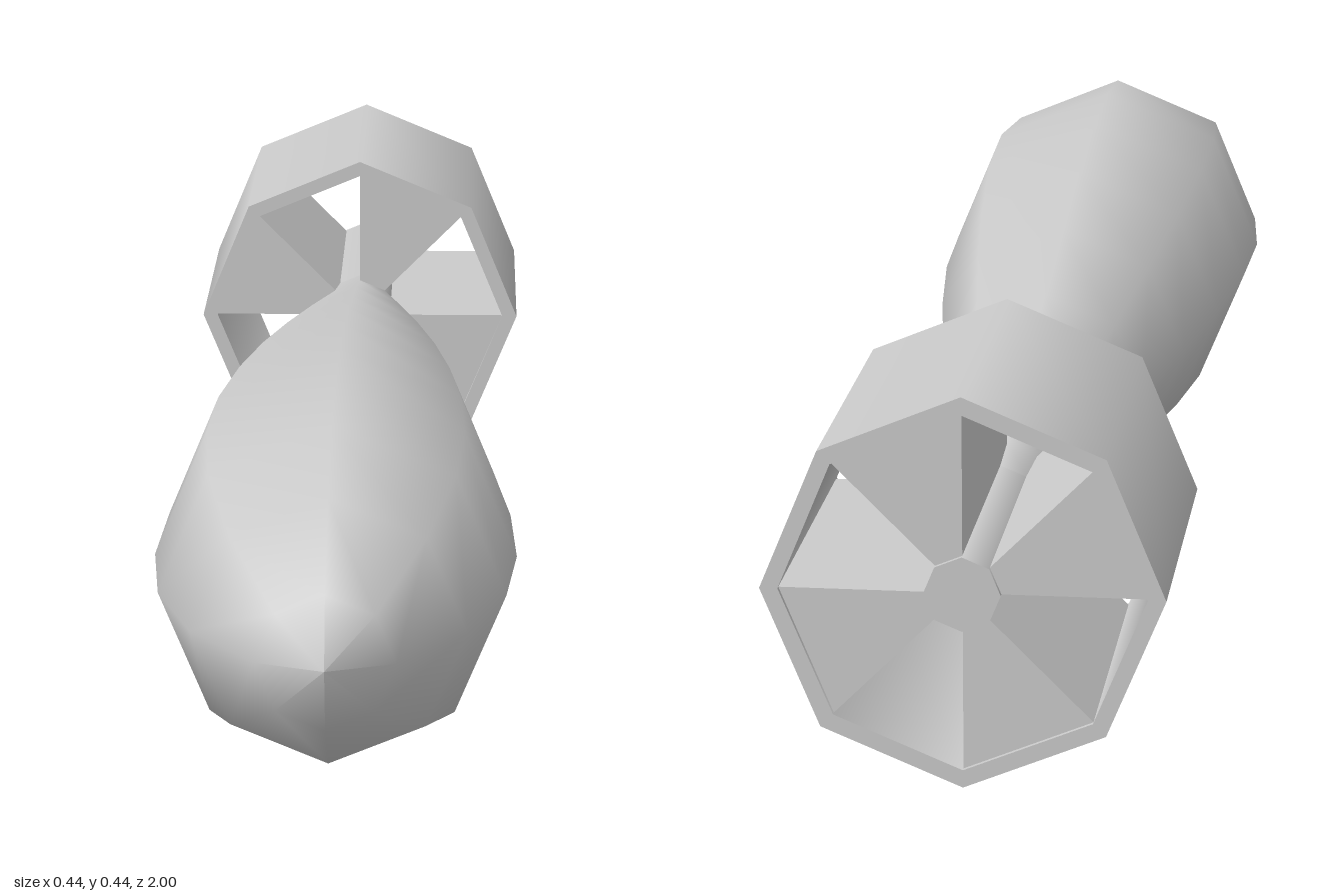
import * as THREE from 'three';
import { mergeGeometries } from 'three/addons/utils/BufferGeometryUtils.js';

const SIDES = 8;
const R = 0.22;          // outer radius of the tail ring
const R_IN = 0.2;        // inner radius of the tail ring
const R_HUB = 0.042;     // radius of the tail rod
const Z_FRONT = -0.59, Z_BACK = -1;

// Eight-sided surface of revolution about z; points are [radius, z]
function turned(points) {
  const geo = new THREE.LatheGeometry(points.map(([r, z]) => new THREE.Vector2(r, z)), SIDES);
  return geo.rotateX(Math.PI / 2);
}

export function createModel() {
  const model = new THREE.Group();
  model.name = 'finnedBomb';
  const material = new THREE.MeshStandardMaterial({ color: 0xcccccc });

  function add(name, geometry) {
    const mesh = new THREE.Mesh(geometry, material);
    mesh.name = name;
    mesh.position.y = R;
    model.add(mesh);
    return mesh;
  }

  // Teardrop body, from the thin tail to the blunt nose
  add('body', turned([
    [0.042, -0.66], [0.05, -0.59], [0.086, -0.4], [0.122, -0.2], [0.155, 0],
    [0.183, 0.2], [0.204, 0.4], [0.21, 0.57], [0.197, 0.72], [0.153, 0.86],
    [0.077, 0.97], [0, 1],
  ]));

  // Rod through the tail ring, with its flat end cap
  add('tailRod', mergeGeometries([
    turned([[R_HUB, Z_BACK], [R_HUB, -0.64]]),
    turned([[0, Z_BACK], [R_HUB, Z_BACK]]),
  ]));

  // Tail ring: separate bands keep the rims sharp
  const corners = [[R, Z_BACK], [R, Z_FRONT], [R_IN, Z_FRONT], [R_IN, Z_BACK]];
  add('tailRing', mergeGeometries(
    corners.map((corner, i) => turned([corner, corners[(i + 1) % 4]]))
  ));

  // Wedge fins joining alternate sides of the rod to the ring
  const at = (r, a) => new THREE.Vector2(r * Math.cos(a), r * Math.sin(a));
  const a0 = Math.PI / 4, a1 = Math.PI / 2;
  const wedge = new THREE.Shape([at(R_HUB, a0), at(R_IN, a0), at(R_IN, a1), at(R_HUB, a1)]);
  const inset = 0.006;
  const finGeometry = new THREE.ExtrudeGeometry(wedge, {
    depth: Z_FRONT - Z_BACK - 2 * inset, bevelEnabled: false,
  }).translate(0, 0, Z_BACK + inset);
  for (let i = 0; i < 4; i++) {
    add('tailFin' + (i + 1), finGeometry).rotation.z = i * Math.PI / 2;
  }

  return model;
}
